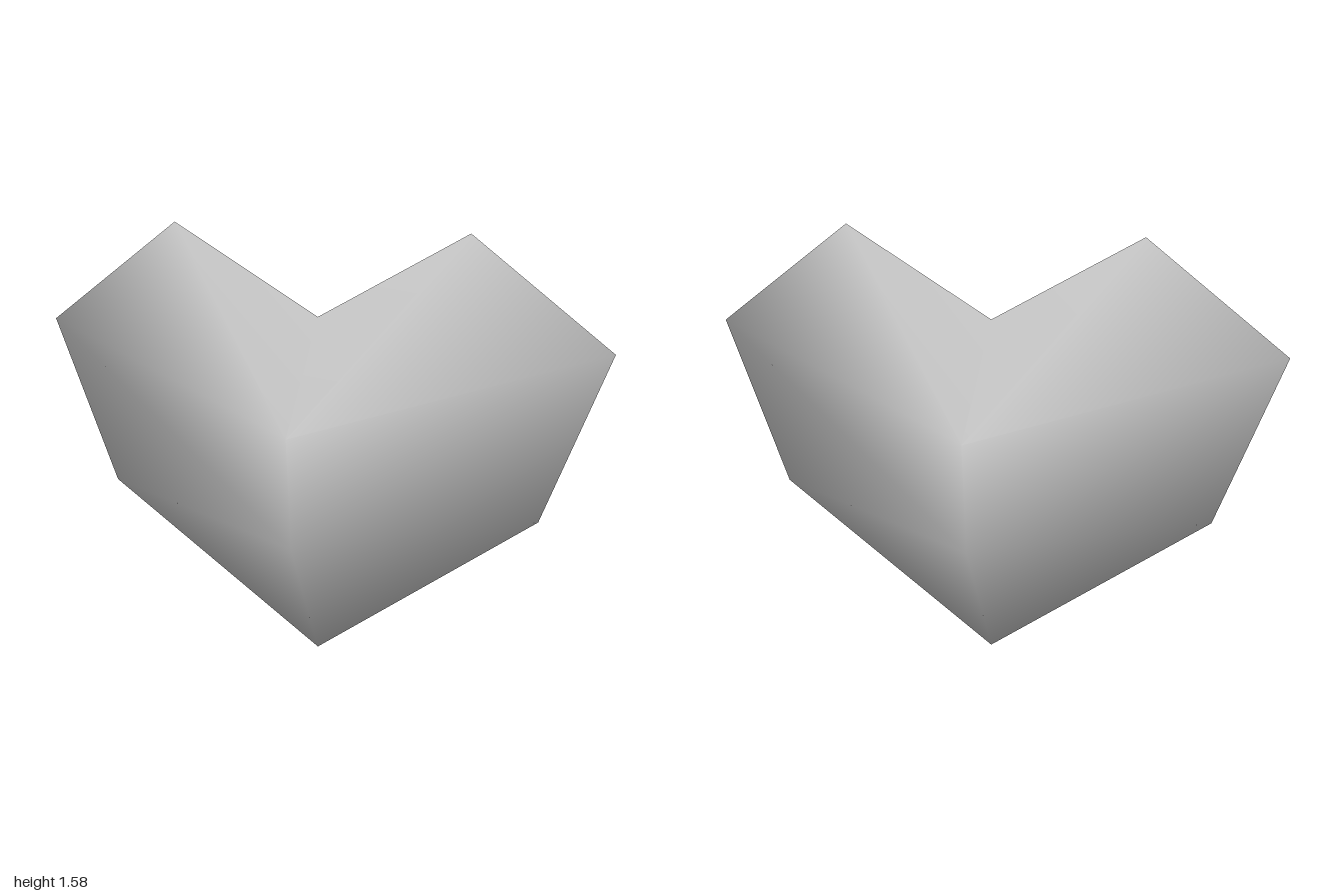
import * as THREE from 'three';

const heartGrey = new THREE.MeshStandardMaterial({ color: 0xc8c8c8 });
heartGrey.name = 'heart grey';

// Corners of one quarter (x >= 0, z >= 0); the rest is mirrored
const corners = {
  tip: [0, 0, 0],
  side: [0.79, 0.6, 0],
  shoulder: [1, 1.21, 0],
  lobe: [0.515, 1.58, 0],
  notch: [0, 1.275, 0],
  peak: [0, 0.955, 0.385],
  belly: [0, 0.55, 0.34],
};
const facets = [
  ['peak', 'lobe', 'notch'],
  ['peak', 'shoulder', 'lobe'],
  ['peak', 'belly', 'shoulder'],
  ['belly', 'side', 'shoulder'],
  ['belly', 'tip', 'side'],
];

function heartGeometry() {
  const positions = [], index = [], known = new Map();
  // Corners on the mirror planes are shared, so normals stay smooth across them
  const corner = (name, sx, sz) => {
    const [x, y, z] = corners[name];
    const point = [x && x * sx, y, z && z * sz];
    const key = point.join();
    if (!known.has(key)) {
      known.set(key, positions.length / 3);
      positions.push(...point);
    }
    return known.get(key);
  };
  for (const sx of [1, -1]) {
    for (const sz of [1, -1]) {
      for (const facet of facets) {
        const face = facet.map((name) => corner(name, sx, sz));
        if (sx * sz < 0) face.reverse(); // keep faces outward when mirrored
        index.push(...face);
      }
    }
  }
  const geometry = new THREE.BufferGeometry();
  geometry.setAttribute('position', new THREE.Float32BufferAttribute(positions, 3));
  geometry.setIndex(index);
  geometry.computeVertexNormals();
  return geometry;
}

export function createModel() {
  const group = new THREE.Group();
  group.name = 'heart';
  const body = new THREE.Mesh(heartGeometry(), heartGrey);
  body.name = 'heartBody';
  group.add(body);
  return group;
}
